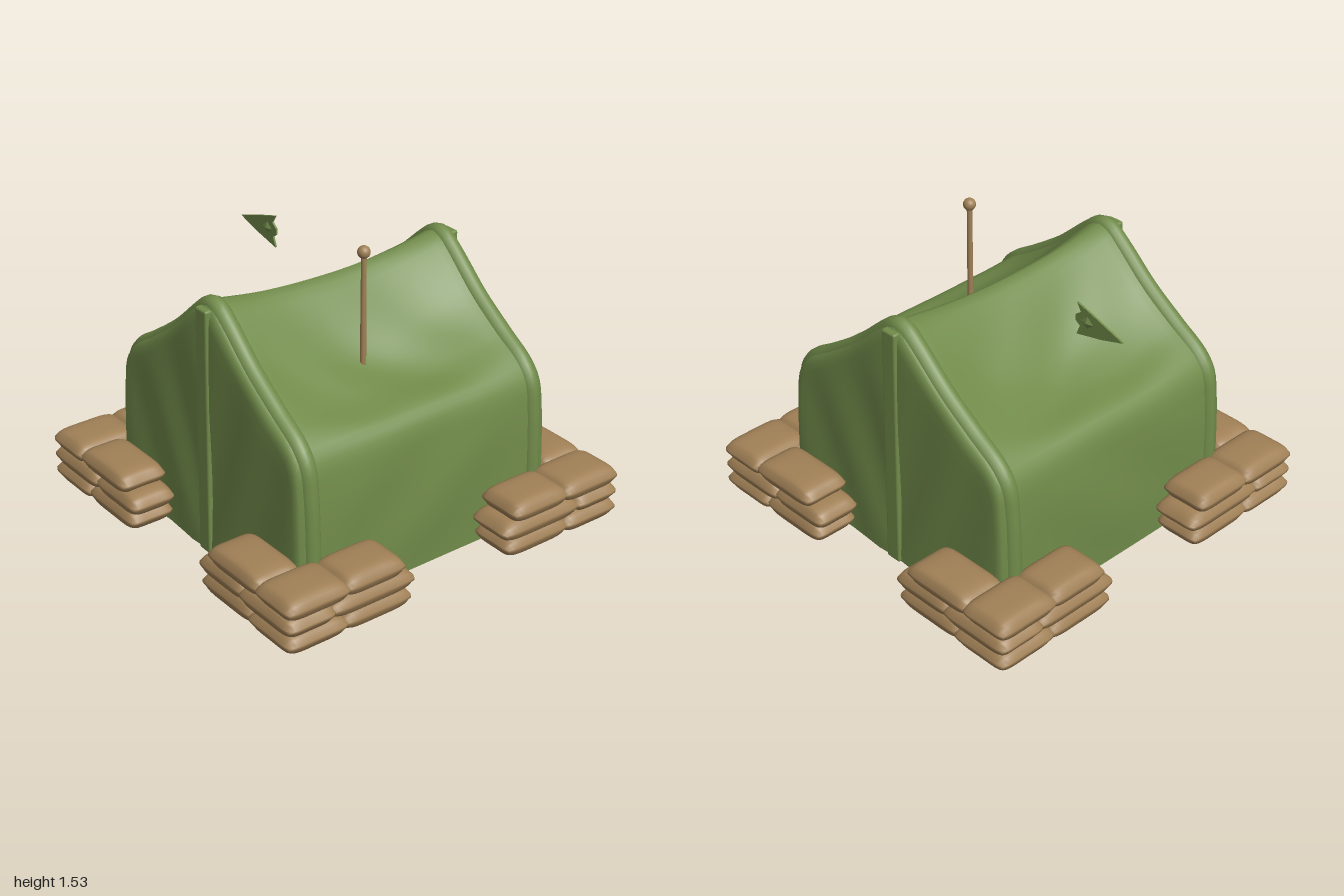
import * as THREE from 'three';
import { mergeVertices } from 'three/addons/utils/BufferGeometryUtils.js';
import { RoundedBoxGeometry } from 'three/addons/geometries/RoundedBoxGeometry.js';

const material = (name, color) => {
  const m = new THREE.MeshStandardMaterial({ color });
  m.name = name;
  return m;
};
const canvas = material('canvas green', 0x718b4a);
const sand = material('sandbag tan', 0xa08056);
const dark = material('floor black', 0x080808);

function add(parent, name, geometry, mat, x = 0, y = 0, z = 0) {
  const mesh = new THREE.Mesh(geometry, mat);
  mesh.name = name;
  mesh.position.set(x, y, z);
  parent.add(mesh);
  return mesh;
}

// Gabled centre line of the ribs, from the left foot over the ridge
const half = [[0.705, 0.015], [0.71, 0.3], [0.697, 0.62], [0.675, 0.755], [0.62, 0.83],
  [0.47, 0.93], [0.28, 1.065], [0.1, 1.225], [0.04, 1.272]];
const ribPoints = (z) => [
  ...half.map(([x, y]) => new THREE.Vector3(x, y, z)),
  new THREE.Vector3(0, 1.285, z),
  ...half.slice().reverse().map(([x, y]) => new THREE.Vector3(-x, y, z)),
];
const ribCurve = (z) => new THREE.CatmullRomCurve3(ribPoints(z), false, 'centripetal');

// Canvas skin: rings along z that sag between the ribs and close into end walls
function skinGeometry() {
  const N = 96;
  const curve = ribCurve(0);
  const outline = [];
  for (let j = 0; j <= N; j++) {
    const p = curve.getPointAt(j / N), t = curve.getTangentAt(j / N);
    outline.push([p.x + t.y * 0.025, p.y - t.x * 0.025]);
  }
  const cap = [[0.68, 1], [0.7, 0.995], [0.716, 0.982], [0.726, 0.96], [0.73, 0.93], [0.73, 0.85],
    [0.73, 0.75], [0.73, 0.6], [0.73, 0.45], [0.73, 0.3], [0.73, 0.15], [0.73, 0]];
  const rings = cap.slice().reverse().map(([z, s]) => [-z, s]);
  for (let i = 0; i <= 32; i++) rings.push([-0.66 + i * 0.04125, 1]);
  rings.push(...cap);

  const pos = [], index = [];
  for (const [z, scale] of rings) {
    const sag = Math.max(0, 1 - (z / 0.64) ** 2);
    for (const [px, py] of outline) {
      let x = px * scale, y = 0.015 + (py - 0.015) * scale, zz = z;
      const r = Math.min(1, Math.abs(px) / 0.68);
      if (py > 0.8) {
        y -= sag * (0.05 * (1 - r) + 0.09 * Math.sin(Math.PI * r));
        y += 0.008 * sag * Math.sin(Math.PI * r) * Math.sin(11 * z + 9 * r);
      } else {
        x += Math.sign(px) * sag * 0.008 * Math.sin(8 * z + 7 * py) * Math.sin(Math.PI * py / 0.8);
      }
      // End walls lean out at the foot and carry soft folds
      if (Math.abs(z) > 0.7) {
        const fold = 0.007 * (1 - scale ** 4) * Math.sin(15 * Math.abs(x) - 6 * y);
        zz += Math.sign(z) * (0.018 * (1 - y / 1.3) + fold);
      }
      pos.push(x, y, zz);
    }
  }
  const row = N + 1;
  for (let i = 0; i < rings.length - 1; i++) {
    for (let j = 0; j < N; j++) {
      const a = i * row + j, b = a + 1, c = a + row, d = c + 1;
      index.push(a, b, c, b, d, c);
    }
  }
  const g = new THREE.BufferGeometry();
  g.setAttribute('position', new THREE.Float32BufferAttribute(pos, 3));
  g.setIndex(index);
  g.computeVertexNormals();
  return g;
}

// Pillow with a pinched rim, rounded corners and a slight waist
function bagGeometry(lx, ly, lz) {
  let g = new THREE.BoxGeometry(2, 2, 2, 18, 2, 18);
  const p = g.attributes.position;
  for (let i = 0; i < p.count; i++) {
    const u = p.getX(i), v = p.getY(i), w = p.getZ(i);
    const puff = Math.sqrt(Math.max(0, (1 - u ** 4) * (1 - w ** 4)));
    p.setXYZ(i,
      u * (1 - 0.08 * w ** 6 - 0.03 * (1 - w * w)) * lx / 2,
      v * (0.12 + 0.88 * puff) * ly / 2,
      w * (1 - 0.08 * u ** 6 - 0.03 * (1 - u * u)) * lz / 2);
  }
  g.deleteAttribute('normal');
  g.deleteAttribute('uv');
  g = mergeVertices(g);
  g.computeVertexNormals();
  return g;
}

export function createModel() {
  const model = new THREE.Group();
  model.name = 'tentWithSandbags';

  // Tent skin and its two padded ribs
  const tent = new THREE.Group();
  tent.name = 'tent';
  model.add(tent);
  add(tent, 'canvasSkin', skinGeometry(), canvas);
  for (const s of [-1, 1]) {
    add(tent, 'rib', new THREE.TubeGeometry(ribCurve(s * 0.662), 100, 0.047, 14), canvas);
    // Closing strip down the middle of each end wall
    const strip = add(tent, 'doorStrip', new RoundedBoxGeometry(0.088, 1.28, 0.04, 3, 0.012),
      canvas, 0, 0.65, s * 0.735);
    strip.rotation.x = -s * 0.014;
    // Foot rails
    add(tent, 'endRail', new THREE.BoxGeometry(1.42, 0.035, 0.08), canvas, 0, 0.027, s * 0.695);
    add(tent, 'sideRail', new THREE.BoxGeometry(0.06, 0.03, 1.4), canvas, s * 0.695, 0.03, 0);
  }

  // Floor panels either side of a middle strip
  add(tent, 'floor', new THREE.BoxGeometry(1.4, 0.008, 1.4), dark, 0, 0.035, 0);
  add(tent, 'floorStrip', new THREE.BoxGeometry(0.085, 0.03, 1.48), canvas, 0, 0.018, 0);

  // Three courses of sandbags at each corner; [x0, x1, z0, z1] per bag
  const flush = [[0.73, 1, 0.65, 1], [0.73, 0.99, 0.33, 0.67], [0.35, 0.75, 0.735, 0.99]];
  const crossed = [[0.6, 1, 0.73, 1], [0.735, 0.99, 0.27, 0.75], [0.27, 0.62, 0.74, 0.985]];
  const base = [[0.67, 1, 0.66, 1], [0.735, 0.99, 0.29, 0.68], [0.29, 0.69, 0.74, 0.985]];
  const bagShapes = [base, crossed, flush].map((course) => course.map(
    ([x0, x1, z0, z1]) => bagGeometry((x1 - x0) * 1.03, 0.12, (z1 - z0) * 1.03)));
  for (const sx of [-1, 1]) {
    for (const sz of [-1, 1]) {
      const stack = new THREE.Group();
      stack.name = 'sandbagCorner';
      model.add(stack);
      [base, crossed, flush].forEach((course, k) => course.forEach(([x0, x1, z0, z1], b) => {
        add(stack, 'sandbag', bagShapes[k][b], sand,
          sx * ((x0 + x1) / 2 - (x1 === 1 ? 0.005 : 0)), 0.087 + k * 0.088,
          sz * ((z0 + z1) / 2 - (z1 === 1 ? 0.005 : 0)));
      }));
    }
  }

  // Pole with a ball on top
  add(model, 'pole', new THREE.CylinderGeometry(0.013, 0.015, 0.58, 16), sand, 0.325, 1.21, 0.065);
  add(model, 'poleBall', new THREE.SphereGeometry(0.031, 20, 14), sand, 0.325, 1.5, 0.065);

  // Pennant with a ragged tail and a thicker crumple
  const pennant = new THREE.Shape([[-0.78, 1.275], [-0.65, 1.235], [-0.495, 1.2], [-0.515, 1.25],
    [-0.488, 1.27], [-0.488, 1.3], [-0.52, 1.325], [-0.495, 1.367], [-0.6, 1.335]]
    .map(([x, y]) => new THREE.Vector2(x, y)));
  add(model, 'pennant', new THREE.ExtrudeGeometry(pennant, { depth: 0.01, bevelEnabled: false }),
    canvas, 0, 0, -0.045);
  const crumple = add(model, 'pennantFold', new THREE.OctahedronGeometry(1), canvas, -0.56, 1.285, -0.04);
  crumple.scale.set(0.055, 0.045, 0.017);
  return model;
}
